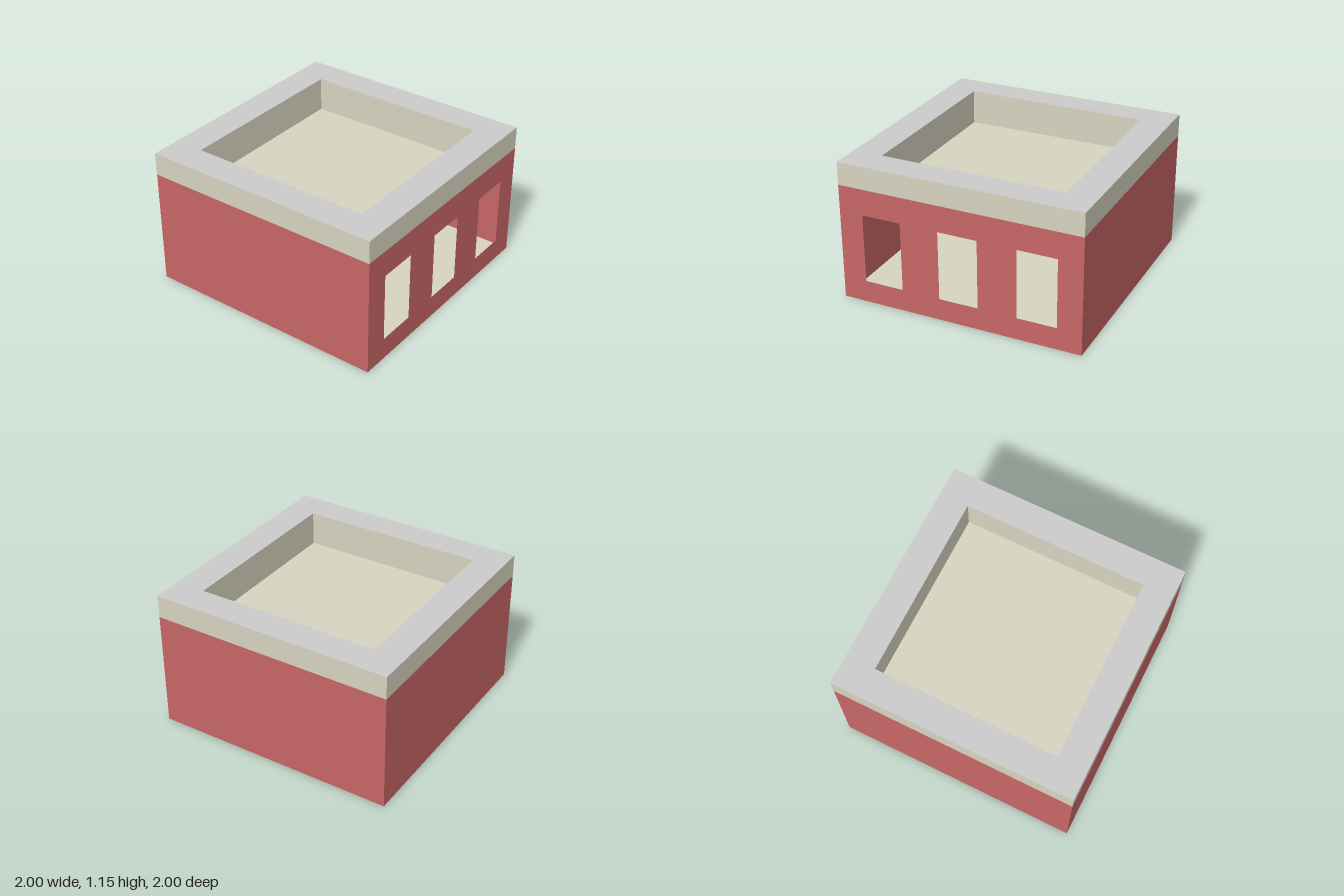
import * as THREE from 'three';

const mat = (color) => new THREE.MeshStandardMaterial({ color, side: THREE.DoubleSide });

const WALL_TOP = 0.96, TOP = 1.147, ROOF = 0.865, INNER = 0.755;

// Rectangle path around a centre
function rect(Type, cx, cy, w, h) {
  const p = new Type();
  p.moveTo(cx - w / 2, cy - h / 2);
  p.lineTo(cx + w / 2, cy - h / 2);
  p.lineTo(cx + w / 2, cy + h / 2);
  p.lineTo(cx - w / 2, cy + h / 2);
  p.closePath();
  return p;
}

export function createModel() {
  const model = new THREE.Group();
  const red = mat(0xc86666), beige = mat(0xd8d4c0), blue = mat(0xa4d4e6), grey = mat(0xcccccc);

  const add = (name, geometry, material, x = 0, y = 0, z = 0, parent = model) => {
    const mesh = new THREE.Mesh(geometry, material);
    mesh.name = name;
    mesh.position.set(x, y, z);
    parent.add(mesh);
    return mesh;
  };

  // Thin outer walls; only the +x wall has window openings
  ['frontWall', 'windowWall', 'backWall', 'plainSideWall'].forEach((name, i) => {
    const shape = rect(THREE.Shape, 0, WALL_TOP / 2, 2, WALL_TOP);
    if (name === 'windowWall') {
      for (const u of [-0.64, 0, 0.64]) shape.holes.push(rect(THREE.Path, u, 0.4625, 0.323, 0.565));
    }
    const wall = new THREE.ShapeGeometry(shape).translate(0, 0, 1).rotateY(i * Math.PI / 2);
    add(name, wall, red);
  });

  // Floor
  add('floor', new THREE.PlaneGeometry(2, 2).rotateX(-Math.PI / 2), beige);

  // Parapet ring: grey top and underside, beige sides
  const ring = rect(THREE.Shape, 0, 0, 2, 2);
  ring.holes.push(rect(THREE.Path, 0, 0, INNER * 2, INNER * 2));
  const parapet = new THREE.ExtrudeGeometry(ring, { depth: TOP - WALL_TOP, bevelEnabled: false });
  add('parapet', parapet.rotateX(-Math.PI / 2), [grey, beige], 0, WALL_TOP, 0);

  // Sunken roof tray: a thin deck with low sides reaching up to the parapet
  add('roofDeck', new THREE.PlaneGeometry(INNER * 2, INNER * 2).rotateX(-Math.PI / 2), beige, 0, ROOF, 0);
  for (let i = 0; i < 4; i++) {
    const side = new THREE.PlaneGeometry(INNER * 2, WALL_TOP - ROOF).translate(0, 0, INNER);
    add('roofTraySide', side.rotateY(i * Math.PI / 2), beige, 0, (ROOF + WALL_TOP) / 2, 0);
  }

  // Beige unit hanging from the roof, with a blue panel on both faces
  const unit = new THREE.Group();
  unit.name = 'hangingUnit';
  model.add(unit);
  const top = ROOF - 0.005;
  add('unitBody', new THREE.BoxGeometry(0.2, top - 0.38, 0.4), beige, 0, (top + 0.38) / 2, 0, unit);
  add('unitBase', new THREE.BoxGeometry(0.22, 0.08, 0.42), beige, 0, 0.34, 0, unit);
  add('bluePanel', new THREE.BoxGeometry(0.24, top - 0.435, 0.225), blue, 0, (top + 0.435) / 2, 0, unit);

  return model;
}
